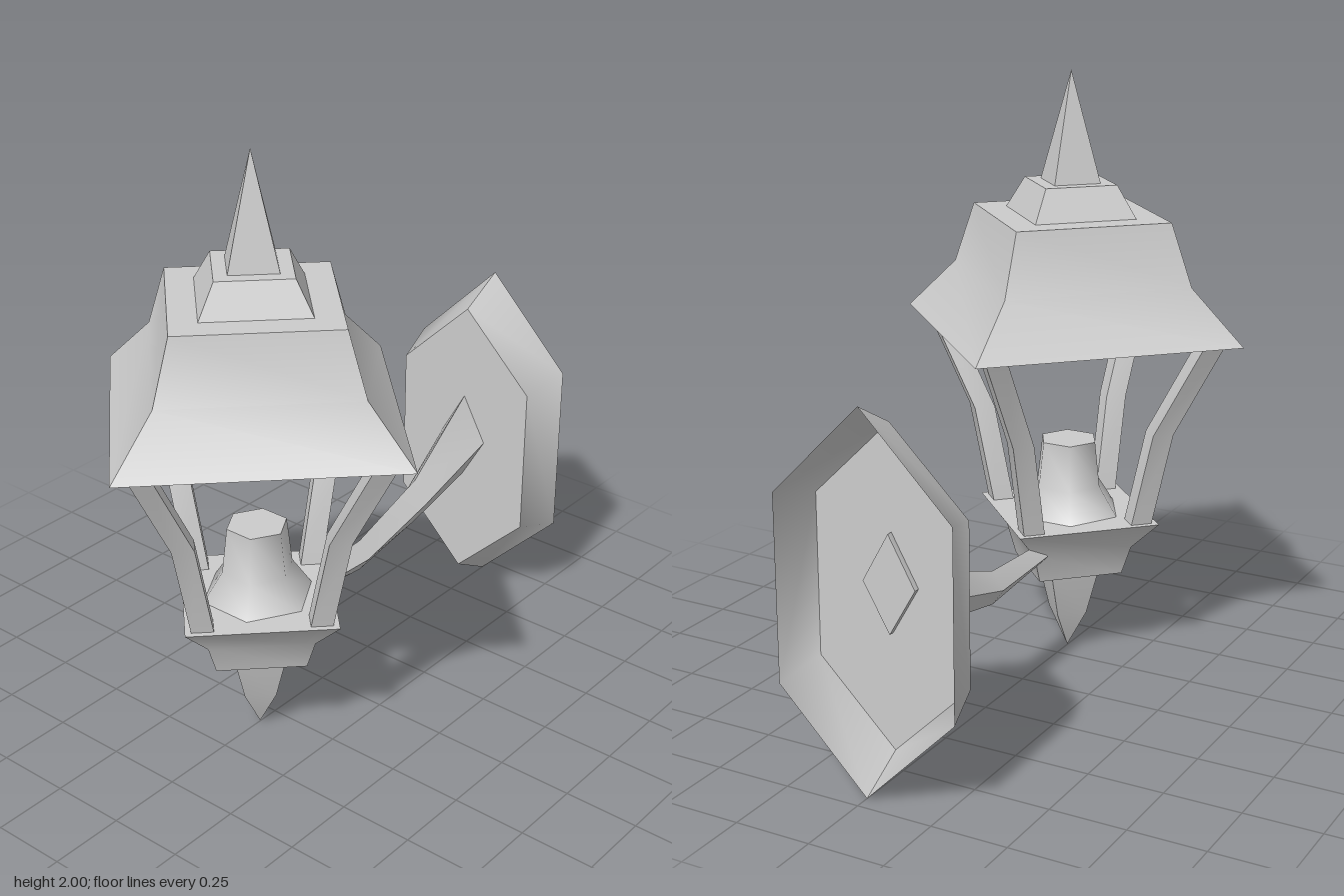
import * as THREE from 'three';
import { toCreasedNormals } from 'three/addons/utils/BufferGeometryUtils.js';

const material = new THREE.MeshStandardMaterial({ color: 0xcccccc });
const shellMaterial = new THREE.MeshStandardMaterial({ color: 0xcccccc, side: THREE.DoubleSide });

function addMesh(parent, name, geometry, crease = 0.6, mat = material) {
  const mesh = new THREE.Mesh(toCreasedNormals(geometry, crease), mat);
  mesh.name = name;
  parent.add(mesh);
  return mesh;
}

// Turned part from [radius, y] pairs listed bottom to top
function turned(profile, sides, phiStart = 0) {
  const points = profile.map(([r, y]) => new THREE.Vector2(r, y));
  return new THREE.LatheGeometry(points, sides, phiStart);
}

// Skin over convex loops, counterclockwise as seen from the last loop's side
function loft(loops, capStart = true, capEnd = true) {
  const n = loops[0].length;
  const index = [];
  for (let s = 0; s < loops.length - 1; s++) {
    for (let i = 0; i < n; i++) {
      const a = s * n + i, b = s * n + (i + 1) % n;
      index.push(a, b, b + n, a, b + n, a + n);
    }
  }
  const last = (loops.length - 1) * n;
  for (let i = 1; i < n - 1; i++) {
    if (capStart) index.push(0, i + 1, i);
    if (capEnd) index.push(last, last + i, last + i + 1);
  }
  const geometry = new THREE.BufferGeometry();
  geometry.setAttribute('position', new THREE.Float32BufferAttribute(loops.flat(2), 3));
  geometry.setIndex(index);
  return geometry.toNonIndexed();
}

export function createModel() {
  const model = new THREE.Group();
  model.name = 'wallLantern';

  const lantern = new THREE.Group();
  lantern.name = 'lantern';
  lantern.position.z = 0.325;
  model.add(lantern);

  // Four-sided stepped roof with spire, corners on the axes
  addMesh(lantern, 'roof', turned([
    [0, 1.155], [0.625, 1.155], [0.44, 1.33], [0.365, 1.535],
    [0.24, 1.535], [0.17, 1.64], [0.11, 1.64], [0, 2],
  ], 4));

  // Tray under the light
  addMesh(lantern, 'base', turned([
    [0, 0.31], [0.205, 0.31], [0.24, 0.41], [0.342, 0.508], [0, 0.508],
  ], 4));

  // Pointed drop below the tray
  addMesh(lantern, 'bottomFinial', turned([[0, 0.005], [0.073, 0.14], [0.122, 0.315]], 4));

  // Six-sided flared lamp holder
  addMesh(lantern, 'lampHolder', turned([
    [0.185, 0.505], [0.118, 0.605], [0.1, 0.76], [0, 0.76],
  ], 6, Math.PI / 2), 1.1);

  // Bent diamond-section posts, one per corner
  const post = loft([[0.262, 0.5], [0.337, 0.83], [0.515, 1.16]].map(([r, y]) => [
    [r + 0.05, y, 0], [r, y, -0.05], [r - 0.05, y, 0], [r, y, 0.05],
  ]));
  for (let k = 0; k < 4; k++) {
    addMesh(lantern, 'post', post).rotation.y = k * Math.PI / 2;
  }

  // Diamond-section arm: [z, bottom, middle, top, half width], wall to lantern
  const arm = [
    [-0.81, 0.47, 0.625, 0.785, 0.09],
    [-0.79, 0.47, 0.625, 0.785, 0.09],
    [-0.51, 0.4, 0.485, 0.565, 0.05],
    [-0.2, 0.345, 0.4, 0.46, 0.04],
    [0.11, 0.373, 0.41, 0.447, 0.035],
  ].map(([z, low, mid, high, w]) => [[w, mid, z], [0, high, z], [-w, mid, z], [0, low, z]]);
  addMesh(model, 'arm', loft(arm));

  // Hollow six-sided wall plate, open at the back
  const hexagon = (w, side, tip, z) => [
    [w, -side], [w, side], [0, tip], [-w, side], [-w, -side], [0, -tip],
  ].map(([x, y]) => [x, 0.605 + y, z]);
  addMesh(model, 'wallPlate', loft([
    hexagon(0.302, 0.3, 0.602, -0.95),
    hexagon(0.262, 0.26, 0.515, -0.79),
  ], false, true), 0.9, shellMaterial);

  return model;
}
